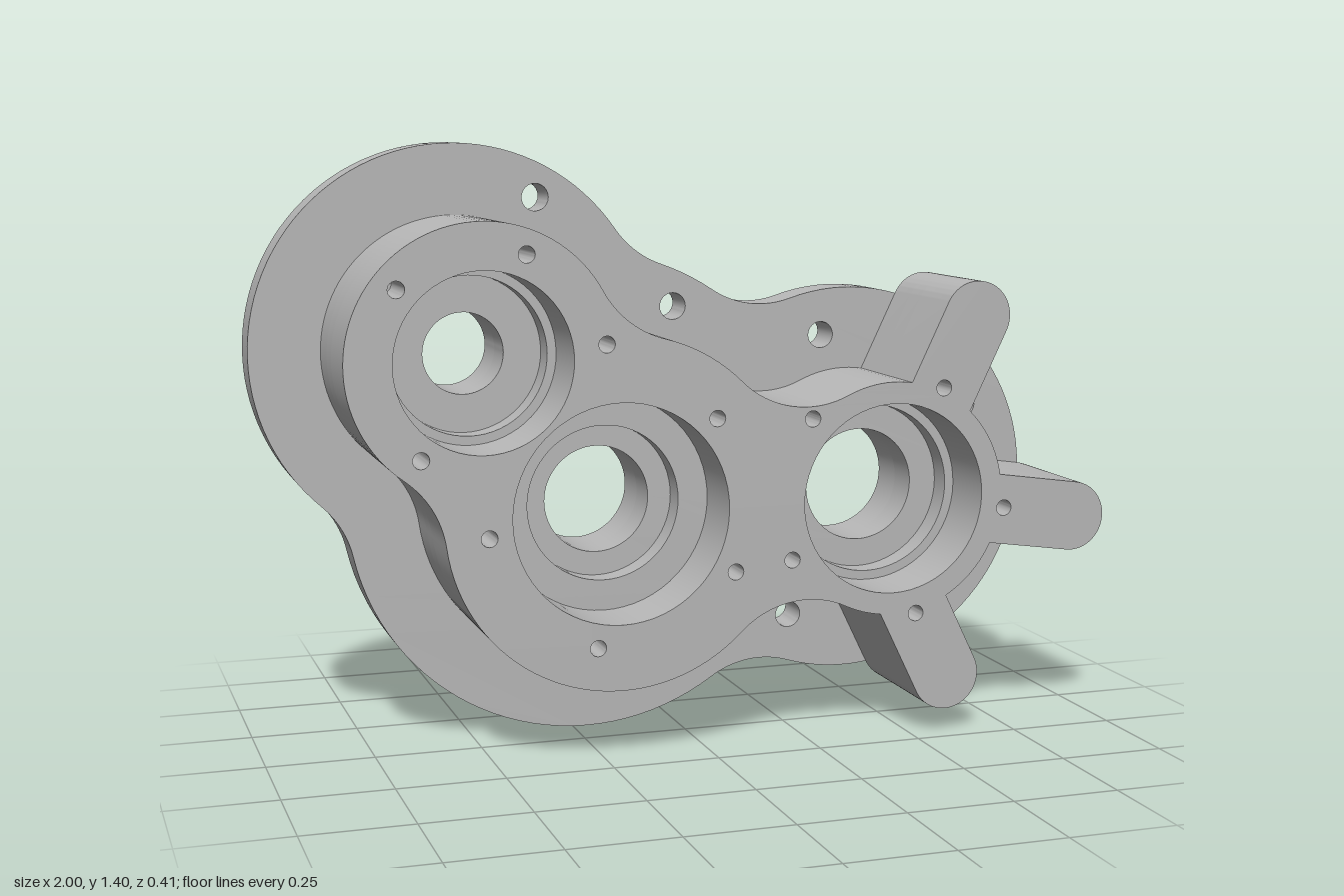
import * as THREE from 'three';
import { toCreasedNormals } from 'three/addons/utils/BufferGeometryUtils.js';

const V = (x, y) => new THREE.Vector2(x, y);
const polar = (c, r, a) => V(c.x + r * Math.cos(a), c.y + r * Math.sin(a));
const angleTo = (c, p) => Math.atan2(p.y - c.y, p.x - c.x);

// bore centres, with stepped radii from front to back
const A = V(-0.527, 0.93), B = V(-0.214, 0.577), C = V(0.449, 0.577);
const BORES = [
  { c: A, r: [0.203, 0.182, 0.094] },
  { c: B, r: [0.254, 0.182, 0.126] },
  { c: C, r: [0.225, 0.203, 0.136] },
];
const FILLET = 0.23;
const LUG_R = 0.083;

// lugs counter-clockwise: tip centre and direction
const LUGS = [
  { tip: V(0.588, 0.143), a: -1.117 },
  { tip: V(0.914, 0.51), a: -0.142 },
  { tip: V(0.655, 1.0), a: 1.122 },
];

const BOLT_HOLES = [[-0.332, 1.278], [0.003, 1.016], [0.382, 0.936], [0.767, 0.749], [0.719, 0.334], [0.302, 0.243]];
const SCREW_HOLES = [
  [-0.719, 1.096], [-0.43, 1.166], [-0.249, 0.963], [-0.671, 0.722], [0.011, 0.786],
  [0.243, 0.775], [-0.521, 0.54], [0.056, 0.428], [0.195, 0.447], [-0.273, 0.273],
  [0.572, 0.834], [0.733, 0.54], [0.508, 0.299],
];

// add an arc; dir = 1 counter-clockwise, -1 clockwise
function arc(pts, c, r, a0, a1, dir) {
  const T = Math.PI * 2;
  const sweep = ((((a1 - a0) * dir) % T) + T) % T;
  const n = Math.max(4, Math.ceil(sweep / 0.06));
  for (let i = 0; i <= n; i++) {
    const p = polar(c, r, a0 + (dir * sweep * i) / n);
    if (!pts.length || p.distanceTo(pts[pts.length - 1]) > 1e-4) pts.push(p);
  }
}

// centre of the concave fillet on the outer side when walking from P to Q
function filletCentre(P, Q) {
  const d = P.c.distanceTo(Q.c), r1 = P.r + FILLET, r2 = Q.r + FILLET;
  const along = (r1 * r1 - r2 * r2 + d * d) / (2 * d);
  const h = Math.sqrt(r1 * r1 - along * along);
  const u = Q.c.clone().sub(P.c).divideScalar(d);
  return V(P.c.x + u.x * along + u.y * h, P.c.y + u.y * along - u.x * h);
}

// point where a lug side (s = -1 or 1) meets the boss circle
function lugRoot(lug, s, boss) {
  const p = polar(lug.tip, LUG_R, lug.a + (s * Math.PI) / 2).sub(boss.c);
  const d = V(Math.cos(lug.a), Math.sin(lug.a));
  const b = p.dot(d);
  const t = -b + Math.sqrt(b * b - p.lengthSq() + boss.r * boss.r);
  return p.addScaledVector(d, t).add(boss.c);
}

// outline of three blended circles, optionally with lugs on the third
function outline(rA, rB, rC, withLugs) {
  const chain = [{ c: A, r: rA }, { c: B, r: rB }, { c: C, r: rC }, { c: B, r: rB }];
  const fillets = chain.map((P, i) => filletCentre(P, chain[(i + 1) % 4]));
  const pts = [];
  chain.forEach((P, i) => {
    const next = chain[(i + 1) % 4], f = fillets[i];
    let start = angleTo(P.c, fillets[(i + 3) % 4]);
    if (withLugs && i === 2) {
      for (const lug of LUGS) {
        arc(pts, P.c, P.r, start, angleTo(P.c, lugRoot(lug, -1, P)), 1);
        arc(pts, lug.tip, LUG_R, lug.a - Math.PI / 2, lug.a + Math.PI / 2, 1);
        start = angleTo(P.c, lugRoot(lug, 1, P));
      }
    }
    arc(pts, P.c, P.r, start, angleTo(P.c, f), 1);
    arc(pts, f, FILLET, angleTo(f, P.c), angleTo(f, next.c), -1);
  });
  if (pts[0].distanceTo(pts[pts.length - 1]) < 1e-4) pts.pop();
  return pts;
}

// extruded slab between two depths with round holes [x, y, radius]
function slab(name, pts, holes, z0, z1, material) {
  const shape = new THREE.Shape(pts);
  for (const [x, y, r] of holes) {
    const n = r > 0.05 ? 64 : 24;
    const ring = [];
    for (let i = 0; i < n; i++) ring.push(polar(V(x, y), r, (-i / n) * Math.PI * 2));
    shape.holes.push(new THREE.Path(ring));
  }
  const geo = new THREE.ExtrudeGeometry(shape, { depth: z1 - z0, bevelEnabled: false });
  geo.translate(0, 0, z0);
  const mesh = new THREE.Mesh(toCreasedNormals(geo, 0.5), material);
  mesh.name = name;
  return mesh;
}

export function createModel() {
  const group = new THREE.Group();
  group.name = 'gearHousing';
  const metal = new THREE.MeshStandardMaterial({ color: 0xb8b8b8 });
  metal.name = 'grey metal';

  const bores = (step) => BORES.map(({ c, r }) => [c.x, c.y, r[step]]);
  const small = (list, r) => list.map(([x, y]) => [x, y, r]);

  // back flange with through bolt holes
  group.add(slab('flange', outline(0.474, 0.572, 0.474, false),
    [...bores(2), ...small(BOLT_HOLES, 0.032)], -0.205, -0.105, metal));

  // housing body in three layers, giving stepped bores and blind screw holes
  const body = outline(0.31, 0.407, 0.276, true);
  group.add(slab('bodyBack', body, bores(2), -0.105, -0.015, metal));
  group.add(slab('bodyMiddle', body, bores(1), -0.015, 0.045, metal));
  group.add(slab('bodyFront', body, [...bores(0), ...small(SCREW_HOLES, 0.019)], 0.045, 0.205, metal));

  // pointed rear ends of the lugs
  LUGS.forEach(({ tip }, i) => {
    const geo = new THREE.ConeGeometry(LUG_R, 0.055, 40, 1, true);
    geo.rotateX(-Math.PI / 2);
    const cone = new THREE.Mesh(geo, metal);
    cone.position.set(tip.x, tip.y, -0.105 - 0.0275);
    cone.name = 'lugPoint' + (i + 1);
    group.add(cone);
  });

  return group;
}
